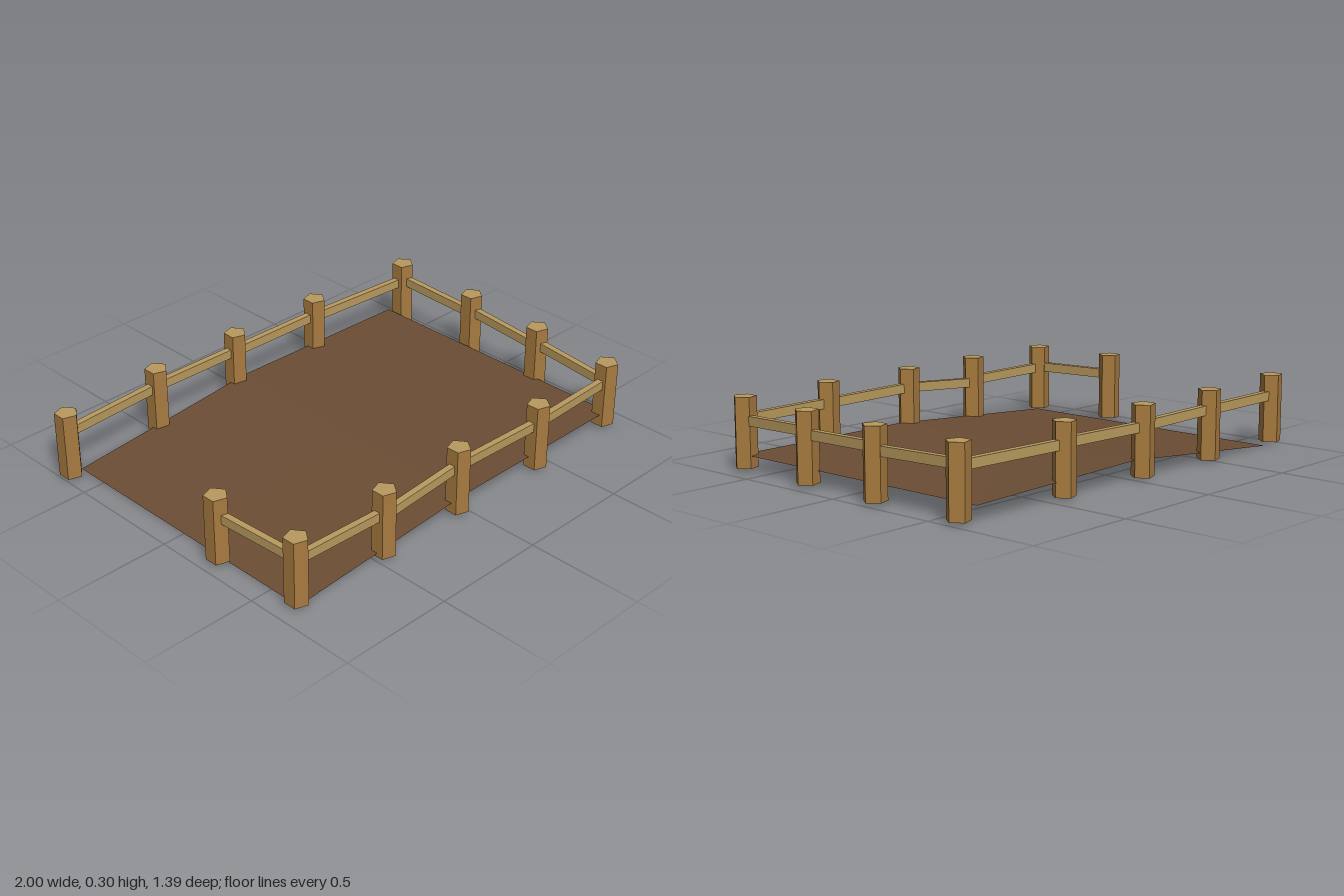
import * as THREE from 'three';

const mat = (name, color, extra = {}) => {
  const m = new THREE.MeshStandardMaterial({ color, flatShading: true, ...extra });
  m.name = name;
  return m;
};

export function createModel() {
  const group = new THREE.Group();
  group.name = 'fencedPaddock';
  const bark = mat('bark wood', 0xa87b40);
  const cutWood = mat('cut wood', 0xb99a5e);
  const soil = mat('soil', 0x6b4d34, { side: THREE.DoubleSide });

  // Ground: a thin sheet that rises from the right edge to a soft crest
  const ground = new THREE.PlaneGeometry(1.8, 1.29, 2, 2).rotateX(-Math.PI / 2);
  const p = ground.attributes.position;
  for (let i = 0; i < p.count; i++) {
    const x = p.getX(i), z = p.getZ(i);
    const crest = Math.abs(x) < 0.1 && z < -0.1;
    p.setY(i, x < -0.5 ? 0.003 : crest ? 0.083 : 0.066);
  }
  ground.computeVertexNormals();
  const groundMesh = new THREE.Mesh(ground, soil);
  groundMesh.name = 'ground';
  group.add(groundMesh);

  // Posts in order round the fence, leaving an opening on the right side: [x, z]
  const posts = [
    [-0.96, -0.63], [-0.48, -0.652], [-0.043, -0.652], [0.418, -0.64],
    [0.951, -0.605], [0.947, -0.175], [0.921, 0.228], [0.89, 0.632],
    [0.43, 0.648], [-0.035, 0.64], [-0.45, 0.643], [-0.893, 0.632], [-0.92, 0.228],
  ];
  const postGeo = new THREE.CylinderGeometry(0.049, 0.049, 0.29, 5).rotateY(Math.PI / 2);
  posts.forEach(([x, z], i) => {
    const post = new THREE.Mesh(postGeo, [bark, cutWood, bark]);
    post.name = `post${i + 1}`;
    post.position.set(x, 0.16, z);
    group.add(post);
  });

  // Rails between neighbouring posts: heights at both ends, slightly uneven
  const railHeights = [
    [0.215, 0.22], [0.222, 0.218], [0.215, 0.22], [0.215, 0.215],
    [0.222, 0.21], [0.222, 0.21], [0.222, 0.208], [0.213, 0.213],
    [0.212, 0.219], [0.219, 0.188], [0.2, 0.206], [0.21, 0.215],
  ];
  railHeights.forEach(([ya, yb], i) => {
    const a = new THREE.Vector3(posts[i][0], ya, posts[i][1]);
    const b = new THREE.Vector3(posts[i + 1][0], yb, posts[i + 1][1]);
    const rail = new THREE.Mesh(new THREE.BoxGeometry(0.028, 0.04, a.distanceTo(b)), cutWood);
    rail.name = `rail${i + 1}`;
    rail.position.copy(a).lerp(b, 0.5);
    rail.lookAt(b);
    group.add(rail);
  });

  return group;
}
